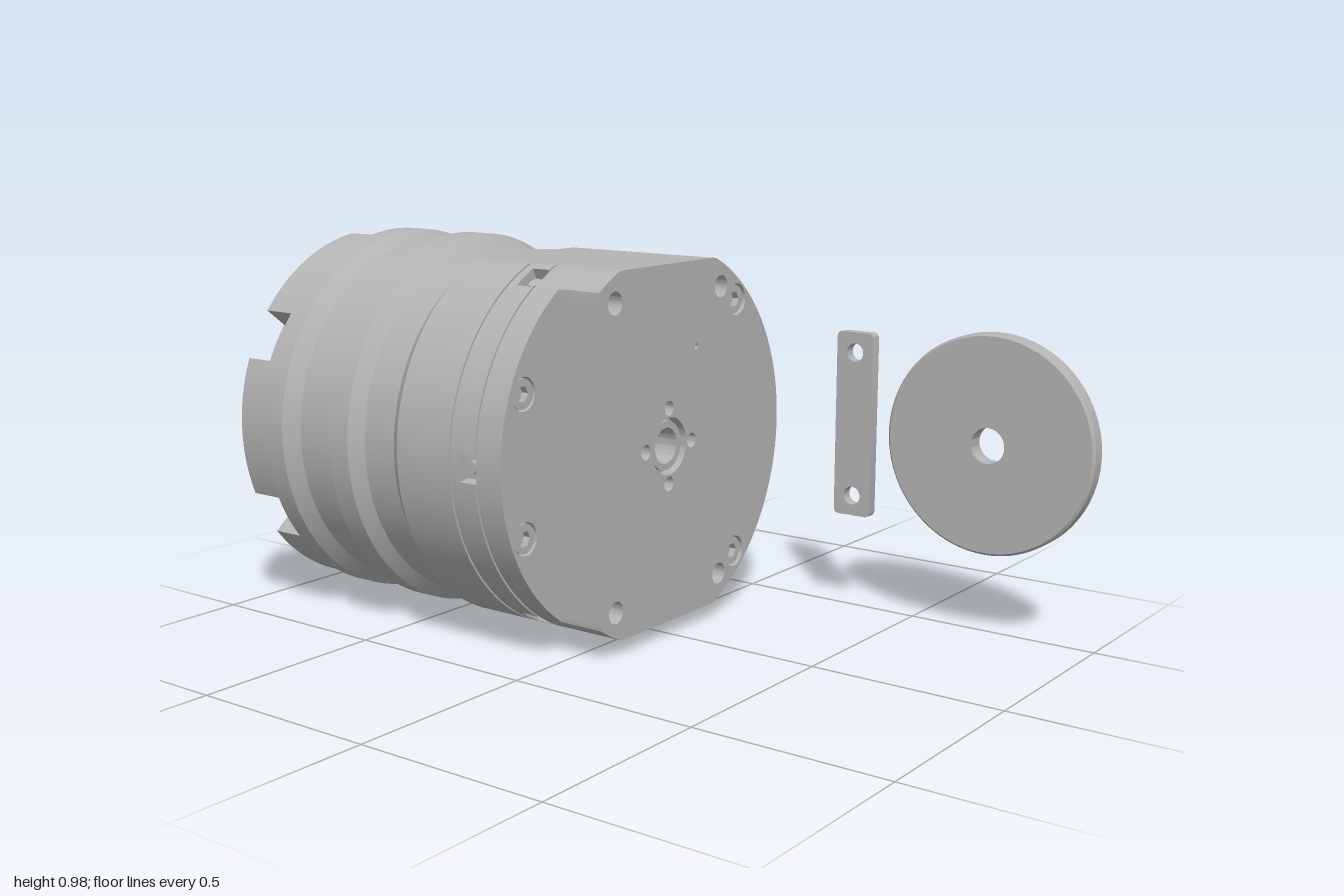
import * as THREE from 'three';
import { toCreasedNormals } from 'three/addons/utils/BufferGeometryUtils.js';

const metal = new THREE.MeshStandardMaterial({ color: 0xb4b4b4 });
metal.name = 'grey metal';

const V = (x, y) => new THREE.Vector2(x, y);
const DEG = Math.PI / 180;
const FLAT = 0.45; // half height between the top and bottom flats

function add(parent, name, geometry) {
  const mesh = new THREE.Mesh(toCreasedNormals(geometry, 0.35), metal);
  mesh.name = name;
  parent.add(mesh);
  return mesh;
}

function circle(x, y, r, sides = 32, turn = 0) {
  const pts = [];
  for (let i = 0; i < sides; i++) {
    const a = turn + (i / sides) * Math.PI * 2;
    pts.push(V(x + r * Math.cos(a), y + r * Math.sin(a)));
  }
  return pts;
}

// Round outline with optional flats and rim notches
function outline(r, { yMax = 9, xMin = -9, notches = [], half = 0, floor = r } = {}) {
  const angles = [];
  for (let i = 0; i < 180; i++) angles.push(i * 2 * DEG + 0.001);
  const full = Math.PI * 2;
  for (const n of notches)
    for (const e of [n - half, n + half])
      for (const d of [-0.0004, 0.0004]) angles.push((e + d + full) % full);
  angles.sort((a, b) => a - b);
  return angles.map((a) => {
    const cut = notches.some((n) => Math.abs(Math.atan2(Math.sin(a - n), Math.cos(a - n))) < half);
    const q = cut ? floor : r;
    return V(Math.max(xMin, q * Math.cos(a)), Math.max(-yMax, Math.min(yMax, q * Math.sin(a))));
  });
}

// Slab between two z positions, with holes
function slab(points, holes, z0, z1) {
  const shape = new THREE.Shape(points);
  shape.holes = holes.map((h) => new THREE.Path(h));
  return new THREE.ExtrudeGeometry(shape, { depth: z1 - z0, bevelEnabled: false }).translate(0, 0, z0);
}

// Socket-head bolt, its top at z, facing +z (dir 1) or -z (dir -1)
function bolt(parent, x, y, z, r, dir) {
  const g = new THREE.Group();
  g.name = 'bolt';
  add(g, 'boltHead', slab(circle(0, 0, r, 24), [circle(0, 0, r * 0.55, 6)], -0.02, 0));
  add(g, 'boltSocketFloor', new THREE.CircleGeometry(r * 0.9, 24).translate(0, 0, -0.018));
  if (dir < 0) g.rotation.y = Math.PI;
  g.position.set(x, y, z);
  parent.add(g);
}

export function createModel() {
  const model = new THREE.Group();
  model.name = 'machineHousing';
  const body = new THREE.Group();
  body.name = 'housing';
  body.position.set(-0.02, 0.495, 0);
  model.add(body);

  const sixths = [0, 1, 2, 3, 4, 5].map((i) => i * 60 * DEG);
  const bore = circle(0, 0, 0.045, 48);
  const leftBolts = [[-0.405, 0.175], [-0.405, -0.17]];
  const rightBolts = [[0.29, 0.335], [0.29, -0.33]];

  // Front block, cut straight on one side
  const frontHoles = [circle(0, 0, 0.072, 48), circle(0.113, 0.235, 0.008, 12)];
  for (const [x, y] of rightBolts) frontHoles.push(circle(x, y, 0.041));
  for (const x of [-0.215, 0.22])
    for (const y of [-0.375, 0.375]) frontHoles.push(circle(x, y, 0.028));
  for (const [x, y] of [[0.095, 0], [-0.095, 0], [0, 0.095], [0, -0.095]])
    frontHoles.push(circle(x, y, 0.019, 20));
  add(body, 'frontBlock', slab(outline(0.49, { yMax: FLAT, xMin: -0.275 }), frontHoles, -0.03, 0.09));
  add(body, 'boreCollar', slab(circle(0, 0, 0.072, 48), [bore], -0.03, 0.06));
  add(body, 'boreRing', slab(circle(0, 0, 0.062, 48), [bore], 0.06, 0.08));
  for (const [x, y] of rightBolts) bolt(body, x, y, 0.083, 0.037, 1);

  // Step flange with its bolts
  add(body, 'stepFlange', slab(outline(0.49, { yMax: FLAT }),
    [bore, ...leftBolts.map(([x, y]) => circle(x, y, 0.041))], -0.1, -0.03));
  for (const [x, y] of leftBolts) bolt(body, x, y, -0.034, 0.037, 1);

  // Stacked middle layers: seams, slotted band, barrel
  add(body, 'frontSeam', slab(outline(0.485, { yMax: FLAT }), [bore], -0.11, -0.1));
  add(body, 'slottedBand', slab(
    outline(0.49, { yMax: FLAT, notches: sixths, half: 0.07, floor: 0.455 }), [bore], -0.16, -0.11));
  add(body, 'middleBand', slab(outline(0.49, { yMax: FLAT }), [bore], -0.18, -0.16));
  add(body, 'rearSeam', slab(outline(0.485, { yMax: FLAT }), [bore], -0.19, -0.18));
  add(body, 'barrel', slab(outline(0.49, { yMax: FLAT }), [circle(0, 0, 0.34, 96)], -0.36, -0.19));
  for (const a of sixths) {
    const pin = new THREE.CylinderGeometry(0.016, 0.016, 0.025, 16).rotateZ(-Math.PI / 2)
      .translate(0.462, 0, -0.135).rotateZ(a);
    add(body, 'slotScrew', pin);
  }

  // Ribbed shell, hollow inside
  const profile = [
    [0.3, -0.84], [0.48, -0.84], [0.48, -0.828], [0.49, -0.82], [0.49, -0.765], [0.46, -0.73],
    [0.46, -0.62], [0.49, -0.595], [0.49, -0.53], [0.46, -0.5], [0.46, -0.4], [0.49, -0.36],
    [0.34, -0.36], [0.34, -0.5], [0.37, -0.53], [0.37, -0.6], [0.34, -0.63], [0.34, -0.72],
    [0.3, -0.75], [0.3, -0.84],
  ].map(([r, z]) => V(r, z));
  const shell = new THREE.LatheGeometry(profile, 144).rotateX(Math.PI / 2);
  const p = shell.attributes.position;
  for (let i = 0; i < p.count; i++)
    if (p.getZ(i) > -0.495) p.setY(i, Math.max(-FLAT, Math.min(FLAT, p.getY(i))));
  add(body, 'ribbedShell', shell);

  // Rear flange with six notches and a ring of bolts
  const ringBolts = [];
  for (let i = 0; i < 16; i++) {
    const a = (11.25 + i * 22.5) * DEG;
    if (i !== 0 && i !== 15) ringBolts.push([0.36 * Math.cos(a), 0.36 * Math.sin(a)]);
  }
  const rearHoles = [circle(0, 0, 0.3, 96), ...ringBolts.map(([x, y]) => circle(x, y, 0.037, 24))];
  for (const a of [90, 180, 270])
    rearHoles.push(circle(0.36 * Math.cos(a * DEG), 0.36 * Math.sin(a * DEG), 0.018, 16));
  add(body, 'rearFlange', slab(outline(0.48, {
    notches: sixths.map((a) => a + 30 * DEG), half: 0.14, floor: 0.41,
  }), rearHoles, -0.93, -0.84));
  for (const [x, y] of ringBolts) bolt(body, x, y, -0.922, 0.032, -1);

  // Curved tab on the rear flange
  const tab = [];
  const arc = (r, from, to) => {
    const a = Math.asin(0.19 / r);
    for (let i = 0; i <= 16; i++) {
      const t = a * (from + ((to - from) * i) / 16);
      tab.push(V(r * Math.cos(t), r * Math.sin(t)));
    }
  };
  arc(0.485, -1, 1);
  arc(0.375, 1, -1);
  add(body, 'rearTab', slab(tab, [circle(0.42, 0.11, 0.034), circle(0.42, -0.11, 0.034)], -1, -0.93));
  for (const y of [0.11, -0.11]) bolt(body, 0.42, y, -0.965, 0.033, -1);

  // Separate round cover, facing sideways
  const disc = new THREE.LatheGeometry([
    [0.045, -0.024], [0.272, -0.024], [0.278, -0.018], [0.278, 0.018], [0.272, 0.024],
    [0.045, 0.024], [0.045, -0.024],
  ].map(([r, y]) => V(r, y)), 96).rotateZ(-Math.PI / 2);
  add(model, 'coverDisc', disc).position.set(0.467, 0.497, 0.721);

  // Separate strap with rounded corners and two holes
  const strap = [];
  [[1, 1], [-1, 1], [-1, -1], [1, -1]].forEach(([sx, sy], k) => {
    for (let i = 0; i <= 4; i++) {
      const a = (k + i / 4) * 90 * DEG;
      strap.push(V(sx * 0.04 + 0.013 * Math.cos(a), sy * 0.23 + 0.013 * Math.sin(a)));
    }
  });
  const strapGeo = slab(strap, [circle(0, 0.19, 0.024), circle(0, -0.19, 0.024)], -0.015, 0.015)
    .rotateY(Math.PI / 2);
  add(model, 'strap', strapGeo).position.set(0.492, 0.498, 0.322);

  return model;
}
